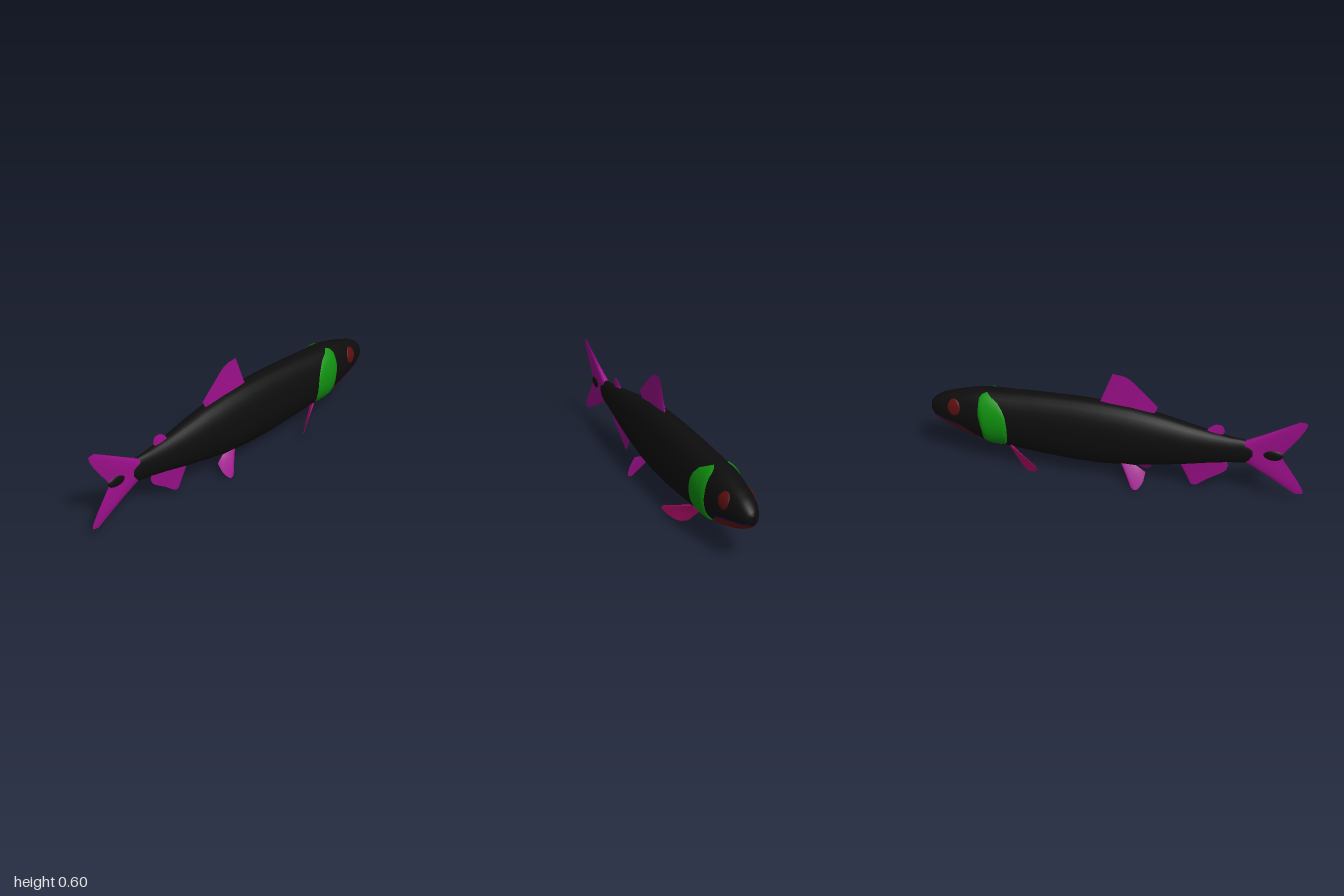
import * as THREE from 'three';
import { mergeGeometries, mergeVertices } from 'three/addons/utils/BufferGeometryUtils.js';

const mat = (name, color) => new THREE.MeshStandardMaterial({ name, color, side: THREE.DoubleSide });
const V = (x, y, z) => new THREE.Vector3(x, y, z);

// Body stations: z, top y, bottom y, half width
const STATIONS = [
  [-1, 0.285, 0.262, 0.005], [-0.993, 0.307, 0.24, 0.028], [-0.97, 0.33, 0.217, 0.046],
  [-0.93, 0.353, 0.195, 0.062], [-0.87, 0.374, 0.17, 0.076], [-0.8, 0.394, 0.148, 0.087],
  [-0.72, 0.413, 0.124, 0.097], [-0.64, 0.42, 0.112, 0.102], [-0.54, 0.423, 0.1, 0.102],
  [-0.4, 0.432, 0.087, 0.1], [-0.2, 0.438, 0.077, 0.1], [-0.05, 0.436, 0.08, 0.099],
  [0.1, 0.427, 0.093, 0.094], [0.25, 0.405, 0.117, 0.083], [0.4, 0.374, 0.147, 0.067],
  [0.52, 0.351, 0.173, 0.051], [0.62, 0.336, 0.191, 0.037], [0.69, 0.33, 0.198, 0.027],
  [0.72, 0.316, 0.211, 0.024], [0.737, 0.296, 0.235, 0.02], [0.742, 0.267, 0.262, 0.003],
];

// Centre height, half height and half width of the body at z
function section(z) {
  let i = 0;
  while (i < STATIONS.length - 2 && STATIONS[i + 1][0] < z) i++;
  const a = STATIONS[i], b = STATIONS[i + 1];
  const t = THREE.MathUtils.clamp((z - a[0]) / (b[0] - a[0]), 0, 1);
  const [top, bot, w] = [1, 2, 3].map(k => a[k] + (b[k] - a[k]) * t);
  return { c: (top + bot) / 2, h: (top - bot) / 2, w };
}

// Point on the skin; angle 0 is the back, PI the belly
function skin(angle, z, lift = 0) {
  const { c, h, w } = section(z), s = Math.sin(angle), k = Math.cos(angle);
  const x = Math.sign(s) * Math.pow(Math.abs(s), 0.9);
  return V(x * w + s * lift, c + k * (h + lift), z);
}

// Smooth surface through rows of points
function grid(rows, flip = false) {
  const n = rows[0].length, index = [];
  for (let i = 0; i < rows.length - 1; i++) {
    for (let j = 0; j < n - 1; j++) {
      const a = i * n + j, b = a + n, c = a + 1, d = b + 1;
      if (flip) index.push(a, c, b, c, d, b);
      else index.push(a, b, c, c, b, d);
    }
  }
  let geo = new THREE.BufferGeometry().setFromPoints(rows.flat());
  geo.setIndex(index);
  geo = mergeVertices(geo, 1e-5);
  geo.computeVertexNormals();
  return geo;
}

// Plate following the skin; columns are [z, top y, bottom y]
function patch(columns, side, lift, bulge = 0) {
  const rows = columns.map(([z, top, bot], i) => {
    const { c, h } = section(z);
    const angle = y => Math.acos(THREE.MathUtils.clamp((y - c) / h, -1, 1));
    const a = angle(top), b = angle(bot), u = i / (columns.length - 1);
    return Array.from({ length: 15 }, (_, j) => {
      const v = j / 14;
      const p = skin(a + (b - a) * v, z, lift + bulge * Math.sqrt(Math.sin(Math.PI * u) * Math.sin(Math.PI * v) + 1e-9));
      p.x *= side;
      return p;
    });
  });
  return grid(rows, side < 0);
}

// Blade from a thick root line to a sharp outer edge
function fin(root, edge, thick) {
  const r = new THREE.CatmullRomCurve3(root), e = new THREE.CatmullRomCurve3(edge);
  const along = root[root.length - 1].clone().sub(root[0]);
  const normal = e.getPoint(0.5).sub(r.getPoint(0.5)).cross(along).normalize();
  const NU = 24, NV = 6;
  const half = s => {
    const rows = [];
    for (let i = 0; i <= NU; i++) {
      const u = i / NU, a = r.getPoint(u), b = e.getPoint(u), row = [];
      const t = thick * Math.pow(Math.max(0, Math.sin(Math.PI * u)), 0.5);
      for (let j = 0; j <= NV; j++) {
        const v = j / NV;
        row.push(a.clone().lerp(b, v).addScaledVector(normal, s * (t * (1 - v) + 0.0006)));
      }
      rows.push(row);
    }
    return grid(rows, s > 0);
  };
  return mergeGeometries([half(1), half(-1)]);
}

export function createModel() {
  const model = new THREE.Group();
  model.name = 'fish';
  const black = mat('bodyBlack', 0x0d0d0d);
  const green = mat('gillGreen', 0x10900f);
  const purple = mat('finPurple', 0x9c0f8a);
  const pink = mat('pectoralPink', 0xbf0f72);
  const red = mat('eyeRed', 0x5c0f0f);
  const jawRed = mat('jawRed', 0x661010);
  const blue = mat('mouthBlue', 0x14145c);
  const add = (name, geo, m) => {
    const mesh = new THREE.Mesh(geo, m);
    mesh.name = name;
    model.add(mesh);
    return mesh;
  };
  const flat = pts => pts.map(([z, y]) => V(0, y, z));

  // Body
  const bodyRows = STATIONS.map(([z]) =>
    Array.from({ length: 33 }, (_, j) => skin((j % 32) / 32 * Math.PI * 2, z)));
  add('body', grid(bodyRows), black);

  // Head details on both sides
  const gill = [[-0.705, 0.385, 0.3], [-0.695, 0.4, 0.25], [-0.685, 0.405, 0.14], [-0.67, 0.41, 0.115],
    [-0.64, 0.395, 0.108], [-0.6, 0.375, 0.116], [-0.57, 0.34, 0.135], [-0.555, 0.31, 0.155], [-0.545, 0.255, 0.2]];
  const eye = Array.from({ length: 13 }, (_, i) => {
    const a = Math.PI * i / 12, dy = 0.043 * Math.sin(a);
    return [-0.847 - 0.037 * Math.cos(a), 0.312 + dy, 0.312 - dy];
  });
  const jawLine = [[-0.993, 0.245], [-0.97, 0.24], [-0.93, 0.235], [-0.87, 0.224], [-0.82, 0.212],
    [-0.78, 0.197], [-0.75, 0.178], [-0.72, 0.145], [-0.705, 0.122]];
  for (const [label, s] of [['left', 1], ['right', -1]]) {
    add(label + 'GillCover', patch(gill, s, 0.003, 0.008), green);
    add(label + 'Eye', patch(eye, s, 0.002, 0.005), red);
    add(label + 'LowerJaw', patch(jawLine.map(([z, y]) => [z, y, -1]), s, 0.004), jawRed);
    add(label + 'MouthLine', patch(jawLine.slice(0, 7).map(([z, y]) => [z, y + 0.007, y - 0.002]), s, 0.003), blue);

    // Paired fins
    add(label + 'PectoralFin', fin(
      [V(0.085 * s, 0.145, -0.53), V(0.045 * s, 0.105, -0.545)],
      [V(0.157 * s, 0.088, -0.375), V(0.161 * s, 0.068, -0.36), V(0.135 * s, 0.034, -0.39),
        V(0.102 * s, 0.02, -0.44), V(0.073 * s, 0.034, -0.48)], 0.005), pink);
    add(label + 'PelvicFin', fin(
      [V(0.052 * s, 0.115, 0.06), V(0.04 * s, 0.108, 0.14)],
      [V(0.07 * s, 0.065, 0.095), V(0.107 * s, 0.012, 0.13), V(0.112 * s, 0.003, 0.155),
        V(0.09 * s, 0.035, 0.185), V(0.055 * s, 0.085, 0.193)], 0.005), purple);
  }

  // Fins on the midline
  add('dorsalFin', fin(flat([[-0.07, 0.425], [0.22, 0.4]]),
    flat([[0.0, 0.6], [0.075, 0.588], [0.165, 0.515], [0.24, 0.445]]), 0.009), purple);
  add('adiposeFin', fin(flat([[0.49, 0.345], [0.575, 0.335]]),
    flat([[0.505, 0.368], [0.54, 0.393], [0.575, 0.39], [0.588, 0.36]]), 0.007), purple);
  add('analFin', fin(flat([[0.355, 0.15], [0.6, 0.2]]),
    flat([[0.42, 0.025], [0.44, 0.02], [0.51, 0.07], [0.6, 0.135], [0.612, 0.165]]), 0.009), purple);
  add('tailFin', fin(flat([[0.69, 0.322], [0.69, 0.206]]),
    flat([[0.965, 0.475], [1, 0.468], [0.975, 0.405], [0.92, 0.325], [0.885, 0.265],
      [0.92, 0.205], [0.975, 0.125], [1, 0.068], [0.965, 0.058]]), 0.022), purple);

  // Dark blotch at the middle of the tail
  const blotch = add('tailBlotch', new THREE.SphereGeometry(1, 20, 14), black);
  blotch.scale.set(0.014, 0.033, 0.062);
  blotch.position.set(0, 0.265, 0.828);

  return model;
}
